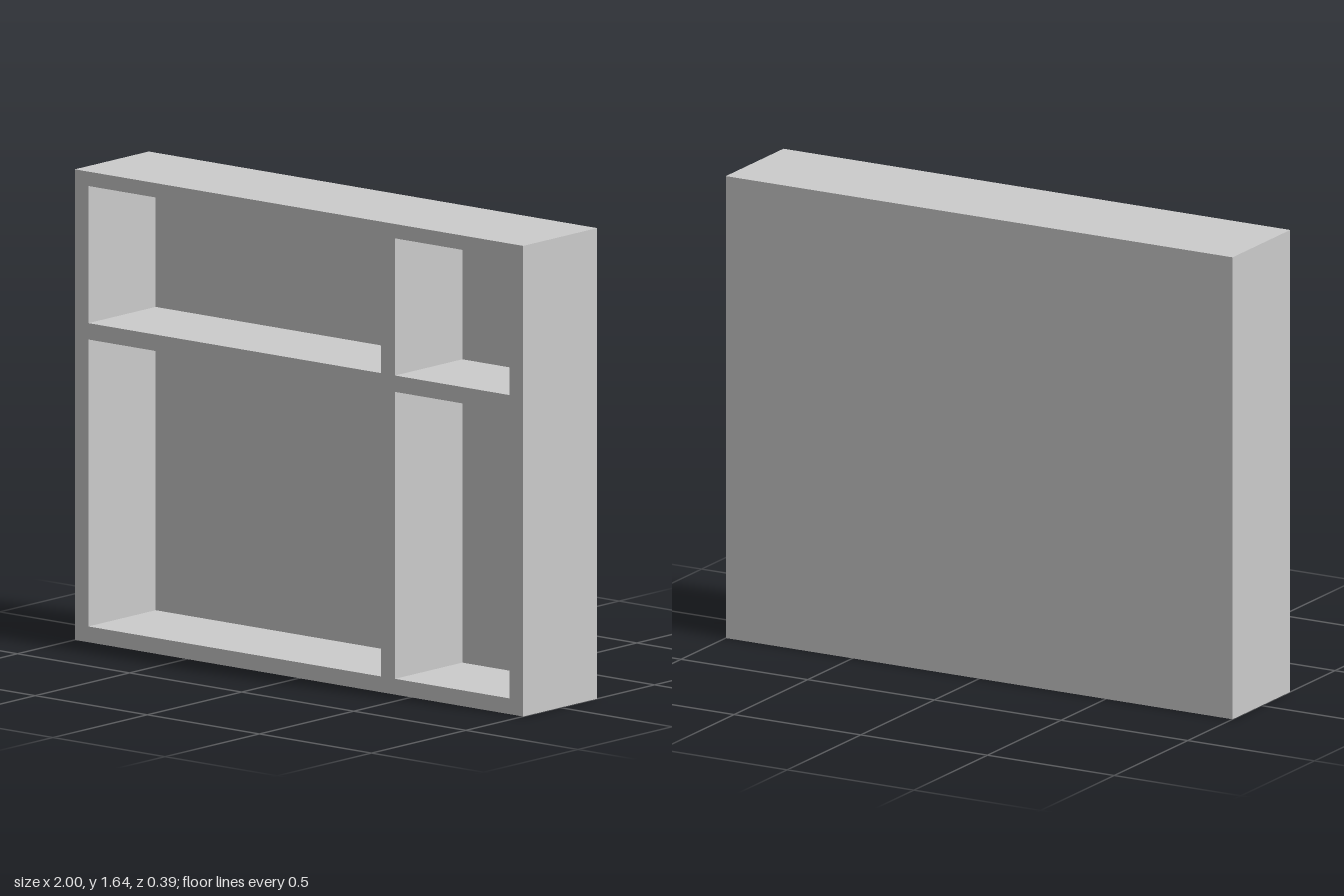
import * as THREE from 'three';

const WIDTH = 2, HEIGHT = 1.64, DEPTH = 0.392, BACK = 0.035;
// Compartment spans between the boards
const COLUMNS = [[-0.94, 0.366], [0.428, 0.94]];
const ROWS = [[0.055, 1.055], [1.112, 1.59]];

function rectangle(target, x0, x1, y0, y1) {
  target.moveTo(x0, y0);
  target.lineTo(x1, y0);
  target.lineTo(x1, y1);
  target.lineTo(x0, y1);
  target.closePath();
  return target;
}

export function createModel() {
  const model = new THREE.Group();
  model.name = 'shelfUnit';
  const material = new THREE.MeshStandardMaterial({ color: 0xcccccc });

  // Outer case and dividers, flush at the front, with four open compartments
  const outline = rectangle(new THREE.Shape(), -WIDTH / 2, WIDTH / 2, 0, HEIGHT);
  for (const [x0, x1] of COLUMNS) {
    for (const [y0, y1] of ROWS) {
      outline.holes.push(rectangle(new THREE.Path(), x0, x1, y0, y1));
    }
  }
  const frame = new THREE.Mesh(
    new THREE.ExtrudeGeometry(outline, { depth: DEPTH - BACK, bevelEnabled: false }),
    material
  );
  frame.name = 'frameWithDividers';
  frame.position.z = -DEPTH / 2 + BACK;
  model.add(frame);

  // Thin panel closing the back
  const back = new THREE.Mesh(new THREE.BoxGeometry(WIDTH, HEIGHT, BACK), material);
  back.name = 'backPanel';
  back.position.set(0, HEIGHT / 2, -DEPTH / 2 + BACK / 2);
  model.add(back);

  return model;
}
